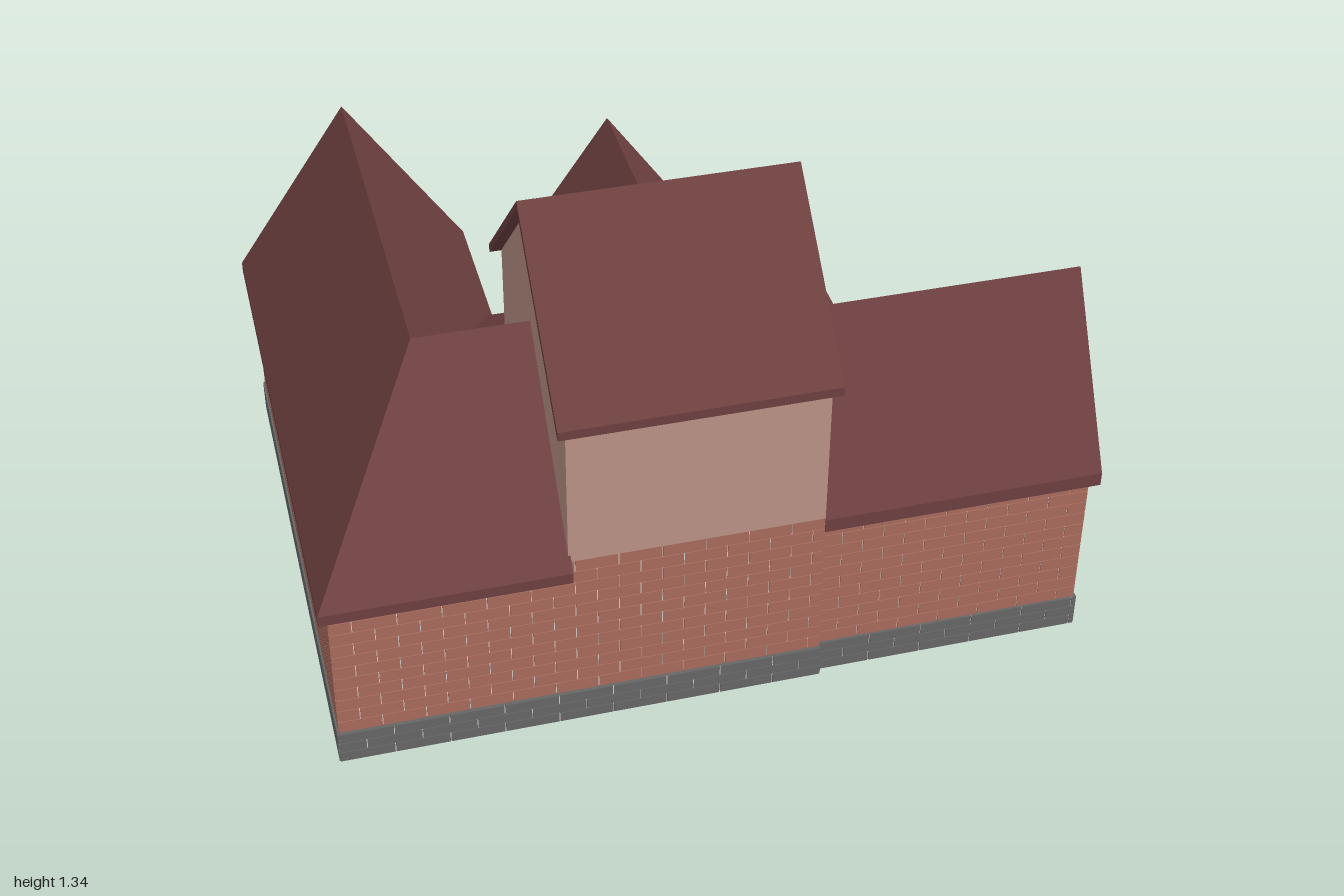
import * as THREE from 'three';
import { mergeGeometries } from 'three/addons/utils/BufferGeometryUtils.js';

const mat = (name, color, side = THREE.FrontSide) => {
  const m = new THREE.MeshStandardMaterial({ color, side });
  m.name = name;
  return m;
};

export function createModel() {
  const house = new THREE.Group();
  house.name = 'house';
  const brick = mat('brick', 0xa86b5c), plaster = mat('plaster', 0xbc9286), roofing = mat('roofing', 0x6e4040);
  const white = mat('white trim', 0xdcdcdc), glass = mat('glass', 0xa2c2ce), stone = mat('stone', 0x666666);
  const mortar = mat('mortar', 0xd2ccc6, THREE.DoubleSide), metal = mat('metal', 0x858585);

  const add = (name, geo, material, parent = house) => {
    const m = new THREE.Mesh(geo, material);
    m.name = name;
    parent.add(m);
    return m;
  };
  // Box given by its low and high corners
  const boxGeo = (x0, y0, z0, x1, y1, z1) =>
    new THREE.BoxGeometry(x1 - x0, y1 - y0, z1 - z0).translate((x0 + x1) / 2, (y0 + y1) / 2, (z0 + z1) / 2);
  const extrude = (pts, depth) =>
    new THREE.ExtrudeGeometry(new THREE.Shape(pts.map(p => new THREE.Vector2(...p))), { depth, bevelEnabled: false });
  // Prisms: (z, y) section along x, (x, y) section along z, (x, z) plan along y
  const prismX = (pts, a, b) => extrude(pts, b - a).rotateY(-Math.PI / 2).translate(b, 0, 0);
  const prismZ = (pts, a, b) => extrude(pts, b - a).translate(0, 0, a);
  const prismY = (pts, a, b) => extrude(pts.map(([x, z]) => [x, -z]), b - a).rotateX(-Math.PI / 2).translate(0, a, 0);

  // Roof plane: a flat polygon thickened downwards
  const slab = (name, pts, t = 0.025) => {
    let top = pts.map(p => new THREE.Vector3(...p));
    const n = top[1].clone().sub(top[0]).cross(top[2].clone().sub(top[0]));
    if (n.y < 0) top = top.reverse();
    const low = top.map(p => p.clone().setY(p.y - t)), tri = [];
    top.forEach((p, i) => {
      const j = (i + 1) % top.length;
      if (i > 0 && j > 0) tri.push(top[0], p, top[j], low[0], low[j], low[i]);
      tri.push(p, low[i], low[j], p, low[j], top[j]);
    });
    const g = new THREE.BufferGeometry().setFromPoints(tri);
    g.computeVertexNormals();
    add(name, g, roofing);
  };

  // Calls fn for each side of a plan; local +x runs along it and +z points outwards
  const sides = (plan, fn) => plan.forEach(([x, z], i) => {
    const [x2, z2] = plan[(i + 1) % plan.length];
    const m = new THREE.Matrix4().makeRotationY(Math.atan2(z - z2, x2 - x)).setPosition(x, 0, z);
    fn(Math.hypot(x2 - x, z2 - z), m);
  });
  // Staggered courses of raised blocks over the sides of a plan
  const courses = (plan, y0, y1, rows, len, gap) => {
    const out = [], h = (y1 - y0) / rows;
    sides(plan, (w, m) => {
      for (let r = 0; r < rows; r++) {
        for (let x = r % 2 ? -len / 2 : 0; x < w; x += len) {
          const a = Math.max(x, 0), b = Math.min(x + len - gap, w);
          if (b - a > 0.004) out.push(boxGeo(a, y0 + r * h, 0, b, y0 + (r + 1) * h - gap, 0.003).applyMatrix4(m));
        }
      }
    });
    return mergeGeometries(out);
  };

  // Foundation: open underneath, with the floor on top
  const base = [[-0.978, 0.732], [0.268, 0.732], [0.268, 0.715], [0.978, 0.715], [0.978, 0.212], [0.53, 0.212],
    [0.53, -0.285], [-0.378, -0.285], [-0.378, -0.742], [-0.978, -0.742]];
  add('floor', prismY(base, 0.08, 0.09), stone);
  const skirts = [];
  sides(base, (w, m) => skirts.push(new THREE.PlaneGeometry(w, 0.09).translate(w / 2, 0.045, 0).applyMatrix4(m)));
  add('foundationCore', mergeGeometries(skirts), mortar);
  add('foundationBlocks', courses(base, 0, 0.0925, 3, 0.14, 0.0025), stone);

  // Brick ground floor
  const plan = [[-0.973, 0.722], [0.265, 0.722], [0.265, 0.708], [0.973, 0.708], [0.973, 0.22], [0.265, 0.22],
    [0.265, 0], [-0.385, 0], [-0.385, -0.738], [-0.973, -0.738]];
  add('wallCore', prismY(plan, 0.085, 0.523), mortar);
  add('bricks', courses(plan, 0.09, 0.525, 12, 0.11, 0.0025), brick);

  // Plastered upper walls and gables
  add('upperFloor', prismX([[0.726, 0.523], [0.726, 0.945], [0.357, 1.305], [0, 0.955], [0, 0.523]], -0.386, 0.266), plaster);
  add('sideWingGable', prismX([[0.694, 0.523], [0.46, 0.932], [0.226, 0.523]], 0.25, 0.976), plaster);
  add('garageGable', prismZ([[-0.965, 0.523], [-0.68, 0.94], [-0.395, 0.523]], -0.741, 0.3), plaster);
  add('dormer', prismZ([[-0.215, 0.55], [0.085, 0.55], [0.085, 0.945], [-0.065, 1.165], [-0.215, 0.945]], -0.15, 0.1), plaster);

  // Roofs
  for (const z of [0.755, -0.042])
    slab('upperRoof', [[-0.41, 1.335, 0.357], [0.285, 1.335, 0.357], [0.285, 0.95, z], [-0.41, 0.95, z]]);
  for (const z of [0.725, 0.198])
    slab('sideWingRoof', [[0.267, 0.975, 0.46], [1, 0.975, 0.46], [1, 0.515, z], [0.267, 0.515, z]], 0.038);
  for (const x of [-0.24, 0.11])
    slab('dormerRoof', [[-0.065, 1.195, -0.175], [-0.065, 1.195, 0.213], [x, 0.945, -0.042], [x, 0.945, -0.175]]);
  const hip = [-0.68, 0.98, 0.35], gableEnd = [-0.68, 0.98, -0.76];
  slab('garageRoofOuter', [gableEnd, hip, [-1, 0.51, 0.755], [-1, 0.51, -0.76]], 0.03);
  slab('garageRoofInner', [gableEnd, hip, [-0.36, 0.51, -0.05], [-0.36, 0.51, -0.76]], 0.03);
  slab('mainRoofFront', [hip, [-0.38, 0.98, 0.35], [-0.38, 0.51, 0.755], [-1, 0.51, 0.755]], 0.03);
  slab('mainRoofBack', [hip, [-0.38, 0.98, 0.35], [-0.38, 0.70, 0.12], [-0.49, 0.70, 0.12]], 0.03);
  slab('porchRoofFlat', [[-0.49, 0.7, 0.12], [-0.38, 0.7, 0.12], [-0.38, 0.7, 0], [-0.49, 0.7, 0]], 0.02);
  slab('porchRoofBack', [[-0.38, 0.53, -0.31], [0.56, 0.53, -0.31], [0.267, 0.7, 0], [-0.49, 0.7, 0]], 0.015);
  slab('porchRoofSide', [[0.56, 0.53, -0.31], [0.56, 0.53, 0.22], [0.267, 0.7, 0.313], [0.267, 0.7, 0]], 0.015);

  // Framed window with glazing bars, facing local +z
  const addWindow = (name, w, h, cols, rows, x, y, z, turn) => {
    const g = new THREE.Group(), f = 0.014, bars = [];
    g.name = name;
    const W = w / 2, H = h / 2;
    add('pane', boxGeo(-W, -H, -0.002, W, H, 0.006), glass, g);
    for (const s of [-1, 1]) {
      bars.push(boxGeo(s * (W - f / 2) - f / 2, -H, 0, s * (W - f / 2) + f / 2, H, 0.012));
      bars.push(boxGeo(-W, s * (H - f / 2) - f / 2, 0, W, s * (H - f / 2) + f / 2, 0.012));
    }
    for (let i = 1; i < cols; i++) bars.push(boxGeo(-W + w * i / cols - 0.003, -H, 0, -W + w * i / cols + 0.003, H, 0.009));
    for (let i = 1; i < rows; i++) bars.push(boxGeo(-W, -H + h * i / rows - 0.003, 0, W, -H + h * i / rows + 0.003, 0.009));
    add('frame', mergeGeometries(bars), white, g);
    g.position.set(x, y, z);
    g.rotation.y = turn;
    house.add(g);
  };
  addWindow('gableWindow', 0.22, 0.35, 4, 7, 0.974, 0.287, 0.467, Math.PI / 2);
  addWindow('sideWingWindow', 0.22, 0.35, 4, 7, 0.75, 0.287, 0.219, Math.PI);
  addWindow('dormerWindow', 0.2, 0.28, 3, 4, -0.065, 0.78, -0.15, Math.PI);
  for (const x of [-0.3, 0.175]) addWindow('upperWindow', 0.1, 0.19, 2, 3, x, 0.815, 0, Math.PI);

  // Triangular attic window
  add('atticFrame', prismX([[0.62, 1.01], [0.36, 1.272], [0.1, 1.01]], 0.26, 0.272), white);
  add('atticPane', prismX([[0.568, 1.035], [0.36, 1.245], [0.152, 1.035]], 0.26, 0.274), glass);
  for (const z of [0.353, 0.367]) add('atticBar', boxGeo(0.265, 1.03, z - 0.005, 0.278, 1.235, z + 0.005), white);

  // Garage door with slats
  add('garageDoor', boxGeo(-0.885, 0.01, -0.747, -0.475, 0.41, -0.73), metal);
  for (let i = 0; i < 8; i++) {
    const y = 0.012 + i * 0.05;
    add('doorSlat', boxGeo(-0.885, y, -0.751, -0.475, y + 0.045, -0.74), white);
  }
  for (const x of [-0.9, -0.475]) add('garageDoorPost', boxGeo(x, 0.01, -0.754, x + 0.015, 0.425, -0.735), white);
  add('garageDoorLintel', boxGeo(-0.9, 0.41, -0.754, -0.46, 0.43, -0.735), white);

  // Entrance door
  add('entranceFrame', boxGeo(-0.155, 0.09, -0.01, 0.025, 0.44, 0), white);
  add('entranceDoor', boxGeo(-0.135, 0.09, -0.014, 0.005, 0.42, 0), metal);

  // Porch ceiling, beams and posts
  add('porchCeiling', prismY([[-0.38, 0], [-0.38, -0.285], [0.535, -0.285], [0.535, 0.215], [0.27, 0.215], [0.27, 0]], 0.5, 0.512), white);
  add('porchBeamBack', boxGeo(-0.38, 0.49, -0.285, 0.535, 0.512, -0.245), white);
  add('porchBeamSide', boxGeo(0.495, 0.49, -0.285, 0.535, 0.512, 0.215), white);
  add('porchGutterBack', boxGeo(-0.38, 0.51, -0.303, 0.553, 0.527, -0.25), white);
  add('porchGutterSide', boxGeo(0.5, 0.51, -0.303, 0.553, 0.527, 0.22), white);
  const post = (x, z) => {
    add('postBase', boxGeo(x - 0.017, 0.09, z - 0.017, x + 0.017, 0.275, z + 0.017), white);
    add('postShaft', boxGeo(x - 0.012, 0.27, z - 0.012, x + 0.012, 0.5, z + 0.012), white);
    add('postCap', boxGeo(x - 0.018, 0.475, z - 0.018, x + 0.018, 0.492, z + 0.018), white);
  };
  for (const [x, z] of [[0.515, 0.185], [0.515, -0.265], [0.14, -0.265], [-0.265, -0.265]]) post(x, z);

  // Railings
  const railing = (x0, z0, x1, z1) => {
    const n = Math.round(Math.hypot(x1 - x0, z1 - z0) / 0.037), parts = [];
    for (const [y, h, r] of [[0.235, 0.02, 0.012], [0.108, 0.014, 0.008]])
      parts.push(boxGeo(Math.min(x0, x1) - r, y, Math.min(z0, z1) - r, Math.max(x0, x1) + r, y + h, Math.max(z0, z1) + r));
    for (let i = 1; i < n; i++) {
      const x = x0 + (x1 - x0) * i / n, z = z0 + (z1 - z0) * i / n;
      parts.push(boxGeo(x - 0.005, 0.11, z - 0.005, x + 0.005, 0.24, z + 0.005));
    }
    add('railing', mergeGeometries(parts), white);
  };
  railing(0.515, -0.265, 0.515, 0.185);
  railing(0.14, -0.265, 0.515, -0.265);
  railing(-0.375, -0.265, -0.265, -0.265);

  // Steps
  for (let i = 0; i < 4; i++) {
    const z = -0.285 - (i + 1) * 0.036;
    add('step', boxGeo(-0.245, 0, z, 0.12, 0.072 - i * 0.018, z + 0.037), stone);
  }

  // Porch table and chair
  add('tableTop', new THREE.CylinderGeometry(0.05, 0.05, 0.008, 20).translate(0.4, 0.205, -0.1), white);
  add('tableLeg', new THREE.CylinderGeometry(0.006, 0.006, 0.115, 10).translate(0.4, 0.148, -0.1), metal);
  add('tableFoot', new THREE.CylinderGeometry(0.03, 0.035, 0.008, 16).translate(0.4, 0.094, -0.1), metal);
  add('chairSeat', boxGeo(0.37, 0.17, -0.035, 0.43, 0.18, 0.02), metal);
  add('chairBack', boxGeo(0.37, 0.23, 0.008, 0.43, 0.31, 0.016), metal);
  for (const x of [0.37, 0.423]) {
    add('chairBackLeg', boxGeo(x, 0.09, 0.009, x + 0.007, 0.3, 0.016), metal);
    add('chairFrontLeg', boxGeo(x, 0.09, -0.035, x + 0.007, 0.17, -0.028), metal);
  }
  return house;
}
